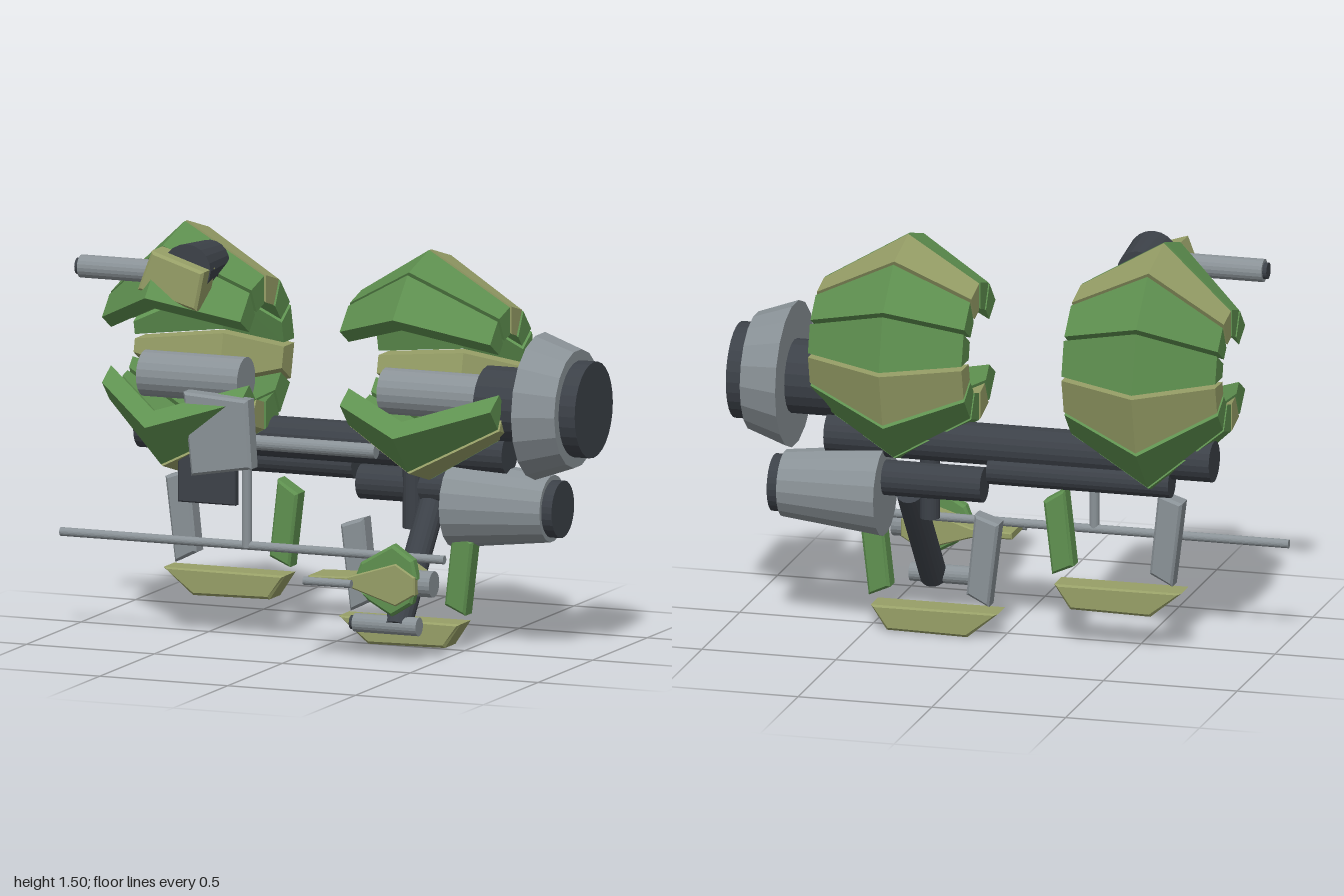
import * as THREE from 'three';

const mat = (name, color) => {
  const m = new THREE.MeshStandardMaterial({ color });
  m.name = name;
  return m;
};

export function createModel() {
  const green = mat('leaf green', 0x5f9150);
  const olive = mat('olive', 0x979f67);
  const gray = mat('steel gray', 0x8a9297);
  const dark = mat('dark gray', 0x3c4148);
  const model = new THREE.Group();

  const add = (name, geometry, material, parent = model) => {
    const mesh = new THREE.Mesh(geometry, material);
    mesh.name = name;
    parent.add(mesh);
    return mesh;
  };

  // Faceted cylinder or cone from point p to point q
  const rod = (name, material, p, q, r0, r1 = r0, sides = 20) => {
    const a = new THREE.Vector3(...p), b = new THREE.Vector3(...q);
    const dir = b.clone().sub(a);
    const geo = new THREE.CylinderGeometry(r1, r0, dir.length(), sides).toNonIndexed();
    geo.computeVertexNormals();
    const mesh = add(name, geo, material);
    mesh.position.copy(a).add(b).multiplyScalar(0.5);
    mesh.quaternion.setFromUnitVectors(new THREE.Vector3(0, 1, 0), dir.normalize());
    return mesh;
  };
  const rodX = (name, material, x0, x1, y, z, r0, r1 = r0, sides = 20) =>
    rod(name, material, [x0, y, z], [x1, y, z], r0, r1, sides);

  // Outline in x and y, extruded from z0 to z1 with a small bevel
  const slab = (name, material, points, z0, z1, bevel = 0.01) => {
    const shape = new THREE.Shape(points.map(([x, y]) => new THREE.Vector2(x, y)));
    const geo = new THREE.ExtrudeGeometry(shape, {
      depth: z1 - z0 - 2 * bevel, bevelEnabled: bevel > 0, bevelThickness: bevel,
      bevelSize: bevel, bevelOffset: -bevel, bevelSegments: 1,
    });
    geo.translate(0, 0, z0 + bevel);
    return add(name, geo, material);
  };

  // One wedge of armour: a ridged section swept between two angles
  const plate = (section, a0, a1, gap) => {
    const CY = 1.045, CZ = 0.025, squash = 0.955;
    const ring = (angle, shift) => section.map(([x, r]) => [
      x,
      CY + r * Math.sin(angle) + shift * Math.cos(angle),
      CZ - r * squash * Math.cos(angle) + shift * Math.sin(angle),
    ]);
    const A = ring(a0, gap), B = ring(a1, -gap);
    const pos = [];
    const quad = (a, b, c, d) => pos.push(...a, ...b, ...c, ...a, ...c, ...d);
    for (let i = 0; i < 6; i++) {
      const j = (i + 1) % 6;
      quad(A[i], B[i], B[j], A[j]);
    }
    for (const [a, b, c, d] of [[1, 0, 5, 4], [2, 1, 4, 3]]) {
      quad(B[a], B[b], B[c], B[d]);
      quad(A[d], A[c], A[b], A[a]);
    }
    const geo = new THREE.BufferGeometry();
    geo.setAttribute('position', new THREE.Float32BufferAttribute(pos, 3));
    geo.computeVertexNormals();
    return geo;
  };

  // Armour shells, open to the front
  const shell = (name, xl, xc, xr, rl, rc, rr) => {
    const group = new THREE.Group();
    group.name = name;
    model.add(group);
    const t = 0.1;
    const section = [[xl, rl], [xc, rc], [xr, rr], [xr, rr - t], [xc, rc - t], [xl, rl - t]];
    for (let i = 0; i < 10; i++) {
      const top = (150 - 30 * i) * Math.PI / 180;
      add('armourPlate', plate(section, top - Math.PI / 6, top, 0.008), i % 3 === 2 ? olive : green, group);
    }
  };
  shell('rightShell', -0.83, -0.58, -0.27, 0.225, 0.46, 0.28);
  shell('leftShell', 0.11, 0.375, 0.69, 0.255, 0.42, 0.232);

  // Cylinders inside the shells
  rodX('rightCore', gray, -0.75, -0.355, 0.933, 0, 0.084);
  rodX('leftCore', gray, 0.19, 0.58, 0.933, 0, 0.084);

  // Main engine
  rodX('engineNeck', dark, 0.58, 0.8, 0.913, -0.02, 0.135);
  rodX('engineBell', gray, 0.79, 0.937, 0.917, -0.01, 0.267, 0.215, 18);
  rodX('engineCap', dark, 0.93, 1, 0.917, -0.01, 0.175, 0.175, 28);

  // Lower engine
  rodX('lowerEngineNeck', dark, 0.06, 0.44, 0.58, -0.09, 0.064);
  rodX('lowerEngineBell', gray, 0.43, 0.805, 0.53, -0.09, 0.165, 0.122, 18);
  rodX('lowerEngineCap', dark, 0.8, 0.845, 0.53, -0.09, 0.104, 0.104, 28);

  // Spine tubes joining the shells
  rodX('spineTube', dark, -0.79, 0.65, 0.725, -0.06, 0.075);
  rodX('lowerSpineTube', dark, -0.64, 0.04, 0.64, -0.09, 0.053);
  rodX('spineRod', gray, -0.45, 0.18, 0.72, 0.06, 0.027);

  // Struts and foot roller
  rod('verticalStrut', dark, [0.275, 0.43, -0.05], [0.275, 0.72, -0.05], 0.036);
  rod('diagonalStrut', dark, [0.35, 0.12, 0.265], [0.35, 0.52, -0.05], 0.05);
  rodX('footRoller', gray, 0.185, 0.435, 0.13, 0.265, 0.034);
  rodX('rollerTip', dark, 0.17, 0.185, 0.13, 0.265, 0.025);

  // Two landing skids, the second one offset from the first
  for (const [side, dx, dy] of [['right', 0, 0], ['left', 0.685, -0.13]]) {
    const at = (pts) => pts.map(([x, y]) => [x + dx, y + dy]);
    slab(side + 'Skid', olive, at([[-0.56, 0.135], [-0.26, 0.14], [-0.2, 0.23], [-0.675, 0.23]]), -0.1, 0.015);
    slab(side + 'OuterLeg', gray, at([[-0.636, 0.248], [-0.552, 0.29], [-0.583, 0.59], [-0.674, 0.56]]), -0.08, 0);
    slab(side + 'InnerLeg', green, at([[-0.267, 0.295], [-0.187, 0.26], [-0.155, 0.53], [-0.235, 0.58]]), -0.08, 0);
  }

  // Front shield and the crossbar hanging below it
  slab('frontShield', gray, [[-0.455, 0.62], [-0.22, 0.66], [-0.235, 0.91], [-0.487, 0.925]], 0.2, 0.275);
  slab('shieldBracket', dark, [[-0.535, 0.51], [-0.31, 0.51], [-0.31, 0.7], [-0.535, 0.7]], 0.17, 0.205, 0.005);
  rod('crossbarHanger', gray, [-0.272, 0.36, 0.188], [-0.272, 0.68, 0.188], 0.018);
  rodX('crossbar', gray, -1, 0.5, 0.366, 0.185, 0.016);

  // Small front pod
  slab('podBody', olive, [[0.05, 0.285], [0.2, 0.28], [0.39, 0.22], [0.465, 0.265],
    [0.465, 0.33], [0.39, 0.375], [0.2, 0.315], [0.05, 0.31]], 0.235, 0.38, 0.005);
  slab('podUpperFin', green, [[0.23, 0.32], [0.47, 0.32], [0.455, 0.39], [0.375, 0.443], [0.25, 0.37]], 0.325, 0.374);
  slab('podLowerFin', green, [[0.25, 0.26], [0.28, 0.23], [0.37, 0.18], [0.45, 0.23], [0.46, 0.27]], 0.325, 0.374);
  rodX('podBarrel', gray, 0.04, 0.225, 0.293, 0.395, 0.015);
  rodX('podNozzle', gray, 0.44, 0.51, 0.297, 0.305, 0.048);

  // Upper turret
  rod('turretDrum', dark, [-0.465, 1.375, 0.07], [-0.465, 1.375, 0.285], 0.075, 0.093);
  slab('turretBlock', olive, [[-0.635, 1.3], [-0.405, 1.235], [-0.375, 1.38], [-0.58, 1.445]], 0.225, 0.345);
  rodX('turretBarrel', gray, -0.885, -0.58, 1.357, 0.267, 0.042);
  rodX('turretMuzzle', dark, -0.9, -0.88, 1.357, 0.267, 0.03);

  return model;
}
